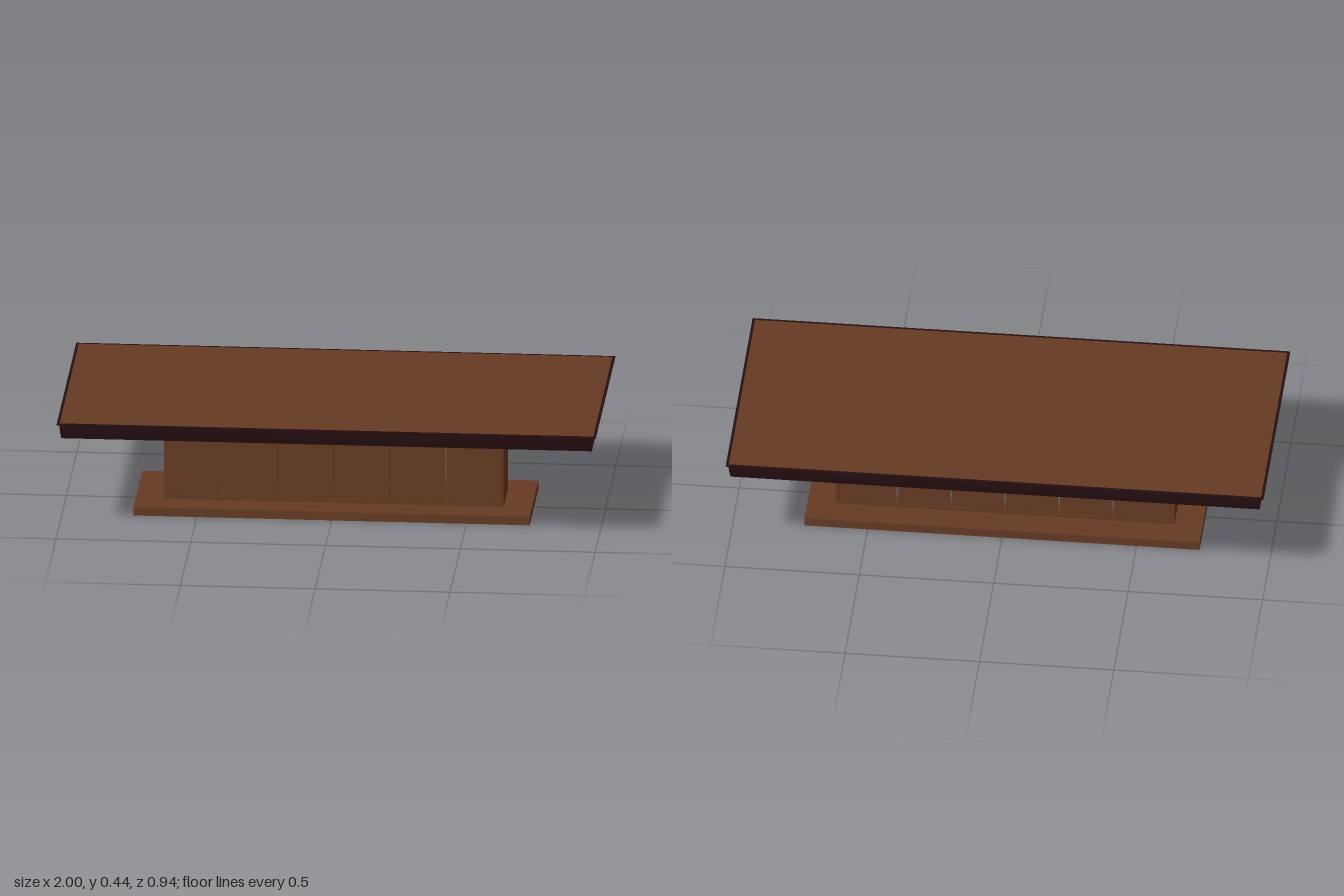
import * as THREE from 'three';

const walnut = new THREE.MeshStandardMaterial({ color: 0x673b23 });
walnut.name = 'walnut brown';
const edging = new THREE.MeshStandardMaterial({ color: 0x260f11, side: THREE.DoubleSide });
edging.name = 'dark edging';

const HX = 1, HZ = 0.47; // half size of the table top

function box(name, x0, x1, y0, y1, z0, z1) {
  const mesh = new THREE.Mesh(new THREE.BoxGeometry(x1 - x0, y1 - y0, z1 - z0), walnut);
  mesh.position.set((x0 + x1) / 2, (y0 + y1) / 2, (z0 + z1) / 2);
  mesh.name = name;
  return mesh;
}

function rect(path, hx, hz) {
  path.moveTo(-hx, -hz);
  path.lineTo(hx, -hz);
  path.lineTo(hx, hz);
  path.lineTo(-hx, hz);
  path.closePath();
  return path;
}

// Flat slab with a rectangular opening
function openSlab(name, hx, hz, holeX, holeZ, y0, y1) {
  const shape = rect(new THREE.Shape(), hx, hz);
  shape.holes.push(rect(new THREE.Path(), holeX, holeZ));
  const geo = new THREE.ExtrudeGeometry(shape, { depth: y1 - y0, bevelEnabled: false });
  geo.rotateX(-Math.PI / 2);
  geo.translate(0, y0, 0);
  const mesh = new THREE.Mesh(geo, walnut);
  mesh.name = name;
  return mesh;
}

// Moulded rim swept round the rectangle from [inset, height] points
function mouldedEdge(profile) {
  const corners = [[1, 1], [1, -1], [-1, -1], [-1, 1]];
  const point = ([inset, y], [sx, sz]) => [sx * (HX - inset), y, sz * (HZ - inset)];
  const pos = [];
  for (let i = 0; i < profile.length - 1; i++) {
    for (let k = 0; k < 4; k++) {
      const a = point(profile[i], corners[k]);
      const b = point(profile[i], corners[(k + 1) % 4]);
      const c = point(profile[i + 1], corners[(k + 1) % 4]);
      const d = point(profile[i + 1], corners[k]);
      pos.push(...a, ...b, ...c, ...a, ...c, ...d);
    }
  }
  const geo = new THREE.BufferGeometry();
  geo.setAttribute('position', new THREE.Float32BufferAttribute(pos, 3));
  geo.computeVertexNormals();
  const mesh = new THREE.Mesh(geo, edging);
  mesh.name = 'mouldedEdge';
  return mesh;
}

export function createModel() {
  const table = new THREE.Group();
  table.name = 'table';

  // Table top: brown faces inside a dark moulded rim
  const top = new THREE.Group();
  top.name = 'tableTop';
  top.add(
    box('topSurface', -HX + 0.01, HX - 0.01, 0.433, 0.438, -HZ + 0.01, HZ - 0.01),
    box('underside', -HX + 0.016, HX - 0.016, 0.378, 0.384, -HZ + 0.016, HZ - 0.016),
    mouldedEdge([[0.016, 0.378], [0.012, 0.4], [0.009, 0.43], [0, 0.433], [0, 0.438], [0.01, 0.438]])
  );
  table.add(top);

  // Plinth with an opening the size of the pedestal
  table.add(openSlab('plinth', 0.735, 0.21, 0.625, 0.095, 0, 0.033));

  // Hollow pedestal: end boards and open rails
  const pedestal = new THREE.Group();
  pedestal.name = 'pedestal';
  pedestal.add(
    openSlab('bottomRail', 0.63, 0.103, 0.575, 0.045, 0.033, 0.046),
    openSlab('topRail', 0.63, 0.103, 0.575, 0.045, 0.367, 0.378)
  );
  for (const s of [-1, 1]) {
    pedestal.add(box('endBoard', s * 0.6225 - 0.0075, s * 0.6225 + 0.0075, 0.033, 0.378, -0.103, 0.103));
  }

  // Six slightly recessed panels on each long side, with narrow gaps
  for (const [side, pitch] of [[1, 0.2075], [-1, 0.201]]) {
    for (let i = -3; i < 3; i++) {
      const x0 = i === -3 ? -0.615 : i * pitch + 0.003;
      const x1 = i === 2 ? 0.615 : (i + 1) * pitch - 0.003;
      const z = side * 0.094;
      pedestal.add(box('panel', x0, x1, 0.046, 0.367, z - 0.005, z + 0.005));
    }
  }
  table.add(pedestal);
  return table;
}
